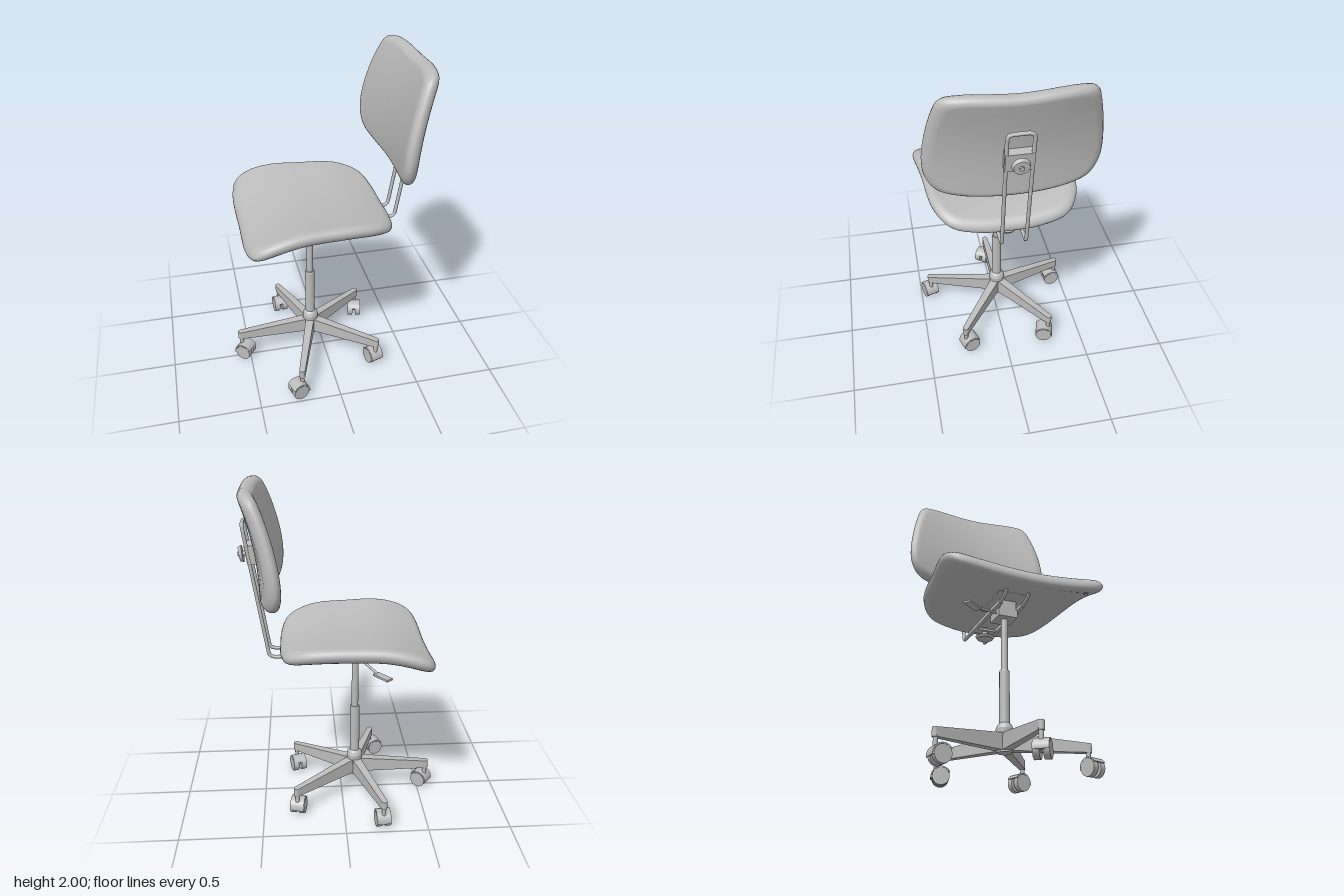
import * as THREE from 'three';

const AXIS_X = -0.085, MID_Z = -0.012;

export function createModel() {
  const chair = new THREE.Group();
  chair.name = 'swivelChair';
  const grey = new THREE.MeshStandardMaterial({ color: 0xbcbcbc });
  grey.name = 'plain grey';

  const add = (name, geometry, x = 0, y = 0, z = 0, parent = chair) => {
    const mesh = new THREE.Mesh(geometry, grey);
    mesh.name = name;
    mesh.position.set(x, y, z);
    parent.add(mesh);
    return mesh;
  };
  const cyl = (top, bottom, h, n = 24) => new THREE.CylinderGeometry(top, bottom, h, n);
  const box = (x, y, z) => new THREE.BoxGeometry(x, y, z);

  // Tube through points, with rounded bends of the given size
  const bentTube = (points, radius, bend) => {
    const p = points.map((q) => new THREE.Vector3(...q));
    const path = new THREE.CurvePath();
    let from = p[0];
    for (let i = 1; i < p.length - 1; i++) {
      const toward = (q) => p[i].clone().add(q.clone().sub(p[i]).setLength(bend));
      const a = toward(p[i - 1]), b = toward(p[i + 1]);
      path.add(new THREE.LineCurve3(from, a));
      path.add(new THREE.QuadraticBezierCurve3(a, p[i], b));
      from = b;
    }
    path.add(new THREE.LineCurve3(from, p[p.length - 1]));
    return new THREE.TubeGeometry(path, 160, radius, 10, false);
  };

  // Padded cushion: a mirrored outline, rounded at the rim, then bent by a rule
  const cushion = (half, centre, rim, thickness, place) => {
    const mirrored = half.filter((p) => p[1] > 0).reverse().map(([a, b]) => [a, -b]);
    const outline = new THREE.CatmullRomCurve3(
      [...half, ...mirrored].map(([a, b]) => new THREE.Vector3(a, b, 0)), true).getPoints(72).slice(0, -1);
    const n = outline.length;
    const face = [0.001, 0.2, 0.4, 0.6, 0.8].map((s) => [s * (1 - rim), 1]);
    const edge = Array.from({ length: 11 }, (_, i) => {
      const t = Math.PI * (0.5 - i / 10);
      return [1 - rim + rim * Math.cos(t), Math.sin(t)];
    });
    const rings = [...face, ...edge, ...face.slice().reverse().map(([s]) => [s, -1])];
    const position = [], index = [];
    rings.forEach(([s, h], i) => outline.forEach((p, j) => {
      const puff = 0.9 + 0.1 * (1 - s * s);
      position.push(...place(centre + (p.x - centre) * s, p.y * s, h * puff * thickness / 2));
      if (i === rings.length - 1) return;
      const a = i * n + j, b = i * n + (j + 1) % n;
      index.push(a, a + n, b + n, a, b + n, b);
    }));
    const g = new THREE.BufferGeometry();
    g.setAttribute('position', new THREE.Float32BufferAttribute(position, 3));
    g.setIndex(index);
    g.computeVertexNormals();
    return g;
  };

  // Seat: sides turned up, front lip and back edge turned down
  const seatOutline = [[0.37, 0], [0.365, 0.19], [0.325, 0.345], [0.2, 0.425], [-0.1, 0.46],
    [-0.4, 0.485], [-0.475, 0.455], [-0.51, 0.36], [-0.515, 0]];
  add('seat', cushion(seatOutline, -0.07, 0.11, 0.094, (a, b, h) => {
    const front = Math.max(0, -0.15 - a) / 0.35, back = Math.max(0, a - 0.05) / 0.31;
    const y = 1.09 + 0.045 * (b / 0.45) ** 2 - 0.085 * front ** 2 - 0.045 * back ** 2;
    return [a - 0.12 * h * front, y + h, MID_Z - b];
  }));

  // Backrest: curved around the sitter and leaning back
  const backOutline = [[1.99, 0], [1.998, 0.3], [1.975, 0.385], [1.89, 0.425], [1.6, 0.48],
    [1.47, 0.468], [1.395, 0.415], [1.36, 0.3], [1.345, 0]];
  add('backrest', cushion(backOutline, 1.67, 0.12, 0.094, (a, b, h) =>
    [0.435 + 0.33 * (a - 1.42) ** 2 - 0.28 * b * b + h, a - 0.3 * h * Math.max(0, a - 1.5), MID_Z + b]));

  // Bent rod frame that carries the seat and the backrest
  const side = (z) => [[-0.3, 1.06, z], [-0.28, 1.015, z], [-0.19, 0.99, z], [0.435, 0.99, z], [0.56, 1.79, z]];
  add('rodFrame', bentTube([...side(MID_Z + 0.07), ...side(MID_Z - 0.07).reverse()], 0.011, 0.03));
  for (const s of [-1, 1]) add('seatRail', box(0.52, 0.024, 0.022), 0.06, 0.993, MID_Z + s * 0.07);

  // Backrest bracket and its knob
  const bracket = new THREE.Group();
  bracket.name = 'backBracket';
  bracket.position.set(0.52, 1.615, MID_Z);
  bracket.rotation.z = -0.155;
  chair.add(bracket);
  add('bracketPlate', box(0.05, 0.11, 0.155), 0, 0, 0, bracket);
  add('bracketStem', cyl(0.014, 0.014, 0.07), 0.04, 0, 0, bracket).rotation.z = Math.PI / 2;
  add('backKnob', cyl(0.042, 0.05, 0.02), 0.056, 0, 0, bracket).rotation.z = -Math.PI / 2;

  // Mechanism under the seat
  add('mechanismBox', box(0.13, 0.05, 0.12), -0.08, 0.958, MID_Z);
  add('mechanismTop', box(0.13, 0.09, 0.1), -0.08, 1.02, MID_Z);
  add('seatPlate', box(0.3, 0.02, 0.19), -0.1, 1.045, MID_Z);
  add('seatKnobStem', cyl(0.018, 0.018, 0.07), 0.235, 0.975, MID_Z);
  add('seatKnob', cyl(0.06, 0.05, 0.016), 0.235, 0.943, MID_Z);
  add('crossBar', box(0.06, 0.014, 0.15), 0.235, 0.99, MID_Z);

  // Height lever with a flat paddle
  add('lever', bentTube([[-0.09, 0.968, -0.05], [-0.13, 0.955, -0.12], [-0.2, 0.925, -0.23]], 0.008, 0.03));
  const paddle = add('leverPaddle', box(0.045, 0.012, 0.12), -0.225, 0.922, -0.265);
  paddle.rotation.y = 0.65;

  // Gas column and hub
  const column = [[0.0, 0.13], [0.045, 0.13], [0.048, 0.24], [0.05, 0.265], [0.042, 0.285], [0.03, 0.298],
    [0.03, 0.605], [0.027, 0.612], [0.021, 0.613], [0.021, 0.94]].map((p) => new THREE.Vector2(...p));
  const profile = column.flatMap((p, i) => (i > 0 && i < 9 ? [p, p.clone()] : [p]));
  add('column', new THREE.LatheGeometry(profile, 28), AXIS_X, 0, MID_Z);

  // Tapered base arm along +x
  const arm = () => {
    const g = box(0.47, 1, 1);
    const p = g.attributes.position;
    for (let i = 0; i < p.count; i++) {
      const tip = p.getX(i) > 0;
      p.setXYZ(i, p.getX(i) + 0.235, p.getY(i) > 0 ? (tip ? 0.192 : 0.24) : 0.14,
        p.getZ(i) * (tip ? 0.036 : 0.056));
    }
    g.computeVertexNormals();
    return g;
  };

  // Twin-wheel caster rolling along local x, hung from its stem
  const caster = () => {
    const group = new THREE.Group();
    group.name = 'caster';
    add('casterStem', cyl(0.013, 0.013, 0.09, 16), 0, 0.115, 0, group);
    for (const s of [-1, 1]) {
      add('wheel', cyl(0.05, 0.05, 0.034), 0.028, 0.051, s * 0.027, group).rotation.x = Math.PI / 2;
    }
    add('wheelAxle', cyl(0.016, 0.016, 0.06, 16), 0.028, 0.051, 0, group).rotation.x = Math.PI / 2;
    const hood = new THREE.Shape();
    hood.absarc(0, 0, 0.058, 0.5, 3.3, false);
    hood.absarc(0, 0, 0.051, 3.3, 0.5, true);
    add('casterHood', new THREE.ExtrudeGeometry(hood, { depth: 0.086, bevelEnabled: false, curveSegments: 16 }),
      0.028, 0.051, -0.043, group);
    add('casterNeck', box(0.036, 0.06, 0.018), 0.01, 0.075, 0, group);
    return group;
  };

  // Five arms, each with its caster turned its own way: [arm angle, rolling x, rolling z]
  const arms = [[180, 0.8, 0.6], [108, -0.95, 0.3], [-108, 0.1, 1], [36, -0.3, -0.95], [-36, -0.25, 0.97]];
  for (const [degrees, dx, dz] of arms) {
    const angle = THREE.MathUtils.degToRad(degrees), c = Math.cos(angle), s = Math.sin(angle);
    add('baseArm', arm(), AXIS_X, 0, MID_Z).rotation.y = -angle;
    add('armTip', cyl(0.018, 0.018, 0.052, 16), AXIS_X + 0.468 * c, 0.166, MID_Z + 0.468 * s);
    const wheelSet = caster();
    wheelSet.position.set(AXIS_X + 0.465 * c, 0, MID_Z + 0.465 * s);
    wheelSet.rotation.y = Math.atan2(-dz, dx);
    chair.add(wheelSet);
  }

  return chair;
}
